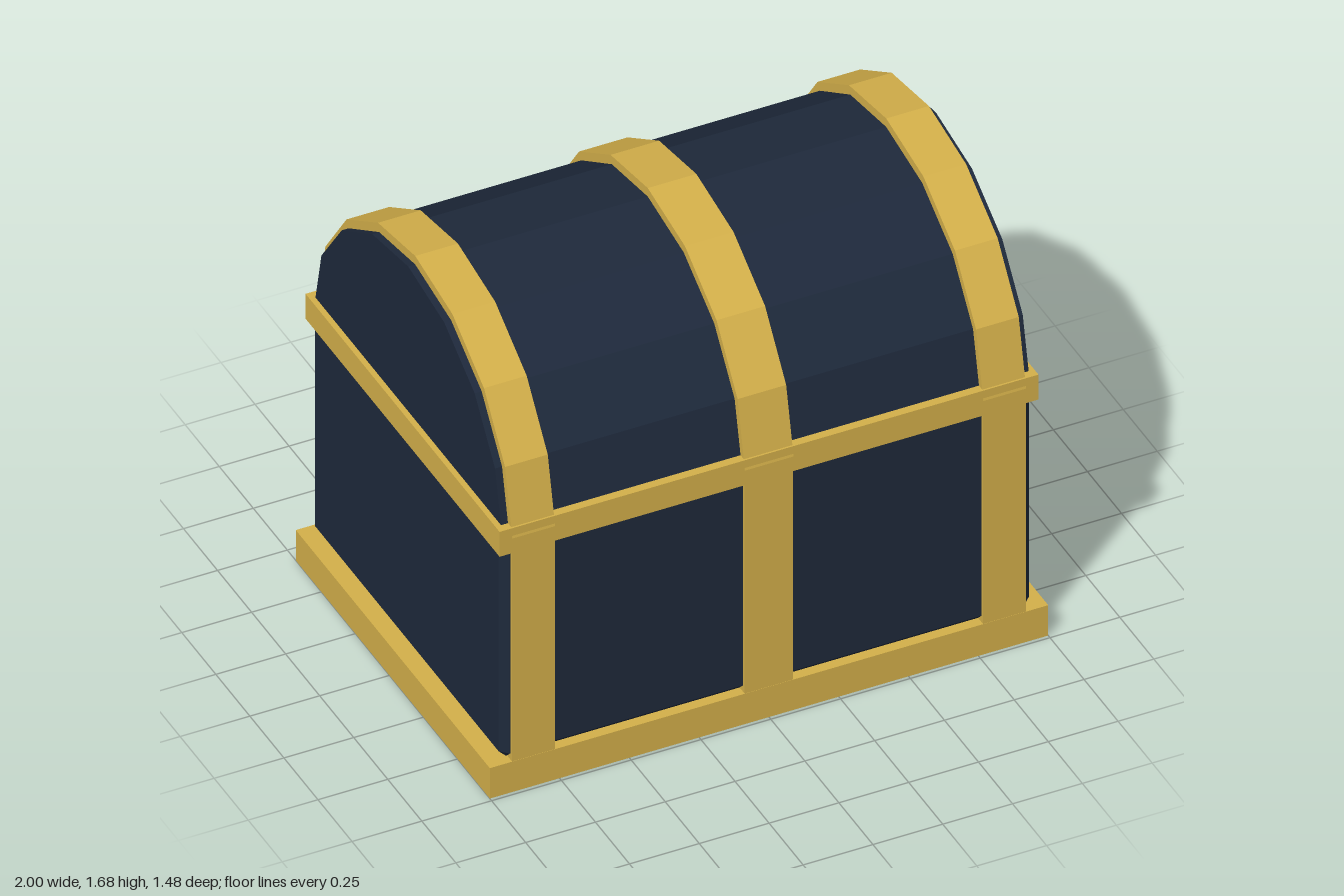
import * as THREE from 'three';
import { ConvexGeometry } from 'three/addons/geometries/ConvexGeometry.js';

const paint = (color) => new THREE.MeshStandardMaterial({ color, flatShading: true });
const GOLD = paint(0xd4b04a), NAVY = paint(0x1e293b), TEAL = paint(0x0fa594);
const ZC = 0.025; // depth centre of the chest body
const LID_Y = 1.02; // springing height of the lid arch

export function createModel() {
  const chest = new THREE.Group();
  chest.name = 'chest';

  const add = (name, geometry, material) => {
    const mesh = new THREE.Mesh(geometry, material);
    mesh.name = name;
    chest.add(mesh);
    return mesh;
  };

  // Box given by its min and max corners
  const box = (name, material, [x0, y0, z0], [x1, y1, z1]) =>
    add(name, new THREE.BoxGeometry(x1 - x0, y1 - y0, z1 - z0), material)
      .position.set((x0 + x1) / 2, (y0 + y1) / 2, (z0 + z1) / 2);

  // Box with all edges chamfered by c
  const chamferBox = (name, material, size, centre, c) => {
    const points = [];
    for (const sx of [-1, 1]) for (const sy of [-1, 1]) for (const sz of [-1, 1]) {
      const s = [sx, sy, sz];
      for (let axis = 0; axis < 3; axis++) {
        points.push(new THREE.Vector3(
          ...s.map((v, i) => v * (size[i] / 2 - (i === axis ? 0 : c)))));
      }
    }
    add(name, new ConvexGeometry(points), material).position.set(...centre);
  };

  // Half-ellipse outline in eight straight segments
  const arch = (rx, ry) => Array.from({ length: 9 }, (_, i) => {
    const a = (i * Math.PI) / 8;
    return new THREE.Vector2(rx * Math.cos(a), ry * Math.sin(a));
  });

  // Arch outline extruded along x between x0 and x1
  const archSolid = (name, material, outline, x0, x1) => {
    const g = new THREE.ExtrudeGeometry(new THREE.Shape(outline), { depth: x1 - x0, bevelEnabled: false });
    g.rotateY(Math.PI / 2);
    add(name, g, material).position.set(x0, LID_Y, ZC);
  };

  // Base, body, rim and lid
  box('base', GOLD, [-1, 0, -0.688], [1, 0.122, 0.737]);
  chamferBox('body', NAVY, [1.9, 0.9, 1.4], [0, 0.572, ZC], 0.026);
  box('rim', GOLD, [-0.965, 0.96, -0.688], [0.965, 1.06, 0.737]);
  const inner = arch(0.69, 0.622);
  archSolid('lid', NAVY, inner, -0.945, 0.945);

  // Straps over the lid and down the front and back
  const strap = [...arch(0.714, 0.656), ...inner.slice().reverse()];
  for (const [x0, x1] of [[-0.92, -0.767], [-0.087, 0.087], [0.767, 0.92]]) {
    archSolid('lidStrap', GOLD, strap, x0, x1);
    box('frontStrap', GOLD, [x0, 0.1, 0.7], [x1, 1, 0.736]);
    box('backStrap', GOLD, [x0, 0.1, -0.687], [x1, 1, -0.65]);
  }

  // Latch side: hasp plate, gem lock and two studs
  box('hasp', GOLD, [-0.13, 0.79, -0.715], [0.13, 1.15, -0.688]);
  chamferBox('lock', TEAL, [0.22, 0.28, 0.05], [0, 0.663, -0.713], 0.02);
  for (const x of [-0.56, 0.56]) {
    box('stud', GOLD, [x - 0.035, 0.635, -0.695], [x + 0.035, 0.705, -0.66]);
  }

  return chest;
}
